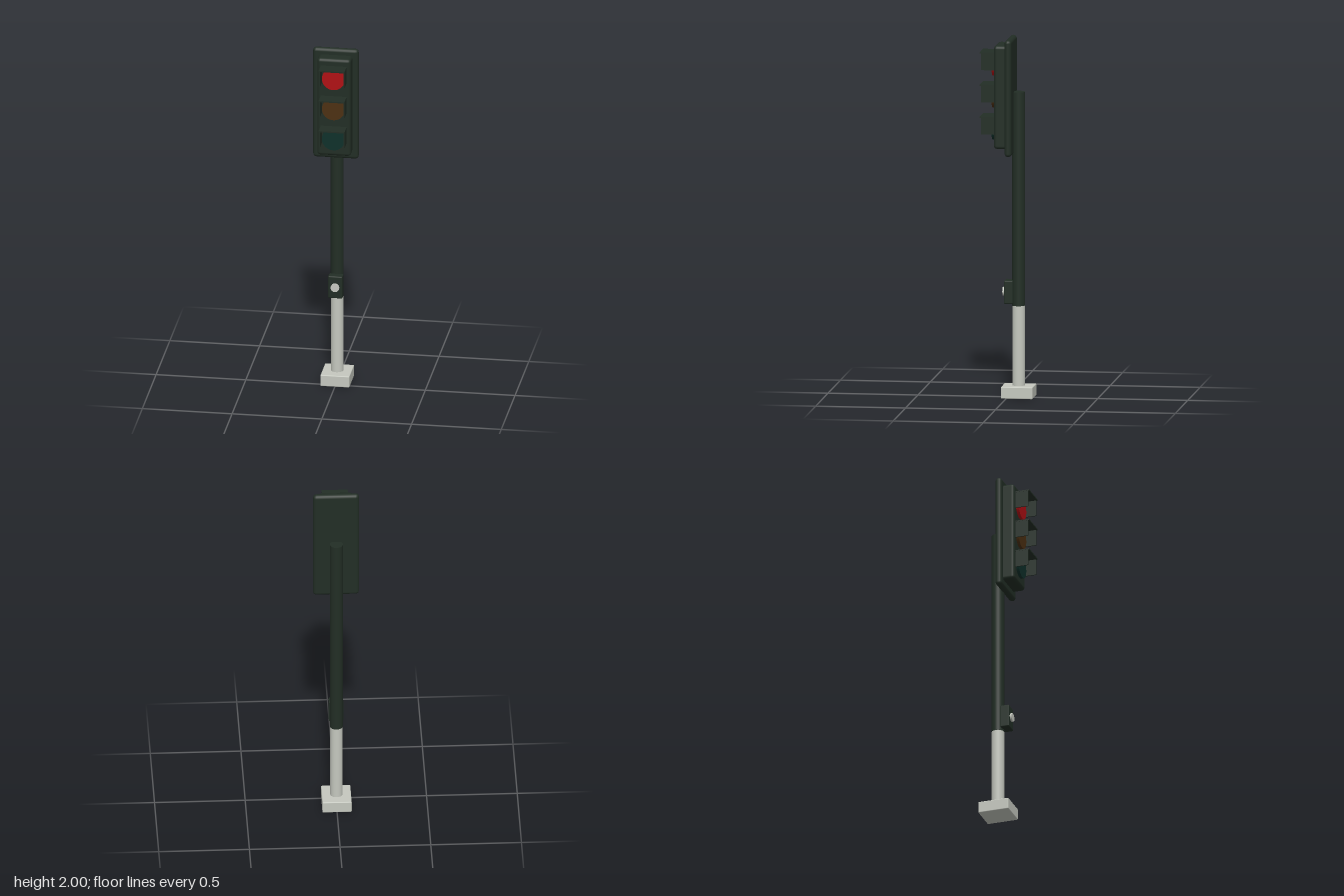
import * as THREE from 'three';
import { RoundedBoxGeometry } from 'three/addons/geometries/RoundedBoxGeometry.js';

const paint = (name, color) => {
  const m = new THREE.MeshStandardMaterial({ color });
  m.name = name;
  return m;
};

export function createModel() {
  const green = paint('dark green paint', 0x222e25);
  const grey = paint('pale grey', 0xc5c8bf);
  const red = paint('red lens', 0xb01014);
  const amber = paint('dim amber lens', 0x4c3012);
  const teal = paint('dim green lens', 0x0e302a);

  const model = new THREE.Group();
  model.name = 'trafficLight';

  const add = (name, geometry, material, x, y, z, parent = model) => {
    const mesh = new THREE.Mesh(geometry, material);
    mesh.name = name;
    mesh.position.set(x, y, z);
    parent.add(mesh);
    return mesh;
  };
  const disc = (radius, depth, sides = 32) =>
    new THREE.CylinderGeometry(radius, radius, depth, sides).rotateX(Math.PI / 2);

  // Base and two-tone pole
  const poleZ = -0.06;
  add('base', new RoundedBoxGeometry(0.162, 0.066, 0.177, 2, 0.005), grey, 0, 0.033, -0.0595);
  add('lowerPole', new THREE.CylinderGeometry(0.035, 0.035, 0.45, 32), grey, 0, 0.285, poleZ);
  add('upperPole', new THREE.CylinderGeometry(0.036, 0.036, 1.19, 32), green, 0, 1.105, poleZ);

  // Pedestrian button
  add('buttonBox', new RoundedBoxGeometry(0.08, 0.13, 0.05, 2, 0.006), green, 0, 0.587, -0.008);
  add('button', disc(0.024, 0.02, 16), grey, 0, 0.588, 0.018);

  // Signal head
  add('backPlate', new RoundedBoxGeometry(0.254, 0.65, 0.038, 2, 0.0185), green, 0, 1.675, -0.016);
  add('housing', new RoundedBoxGeometry(0.188, 0.575, 0.09, 2, 0.018), green, 0, 1.677, 0.022);

  // Three lenses, each under an open three-sided hood
  [red, amber, teal].forEach((lens, i) => {
    const signal = new THREE.Group();
    signal.name = ['topSignal', 'middleSignal', 'bottomSignal'][i];
    signal.position.y = 1.852 - i * 0.179;
    model.add(signal);
    add('lens', disc(0.064, 0.022), lens, 0, 0, 0.072, signal);
    add('hoodTop', new THREE.BoxGeometry(0.144, 0.007, 0.085), green, 0, 0.069, 0.1045, signal);
    for (const side of [-1, 1]) {
      add('hoodSide', new THREE.BoxGeometry(0.006, 0.094, 0.078), green, side * 0.068, 0.0205, 0.101, signal);
    }
  });

  return model;
}
